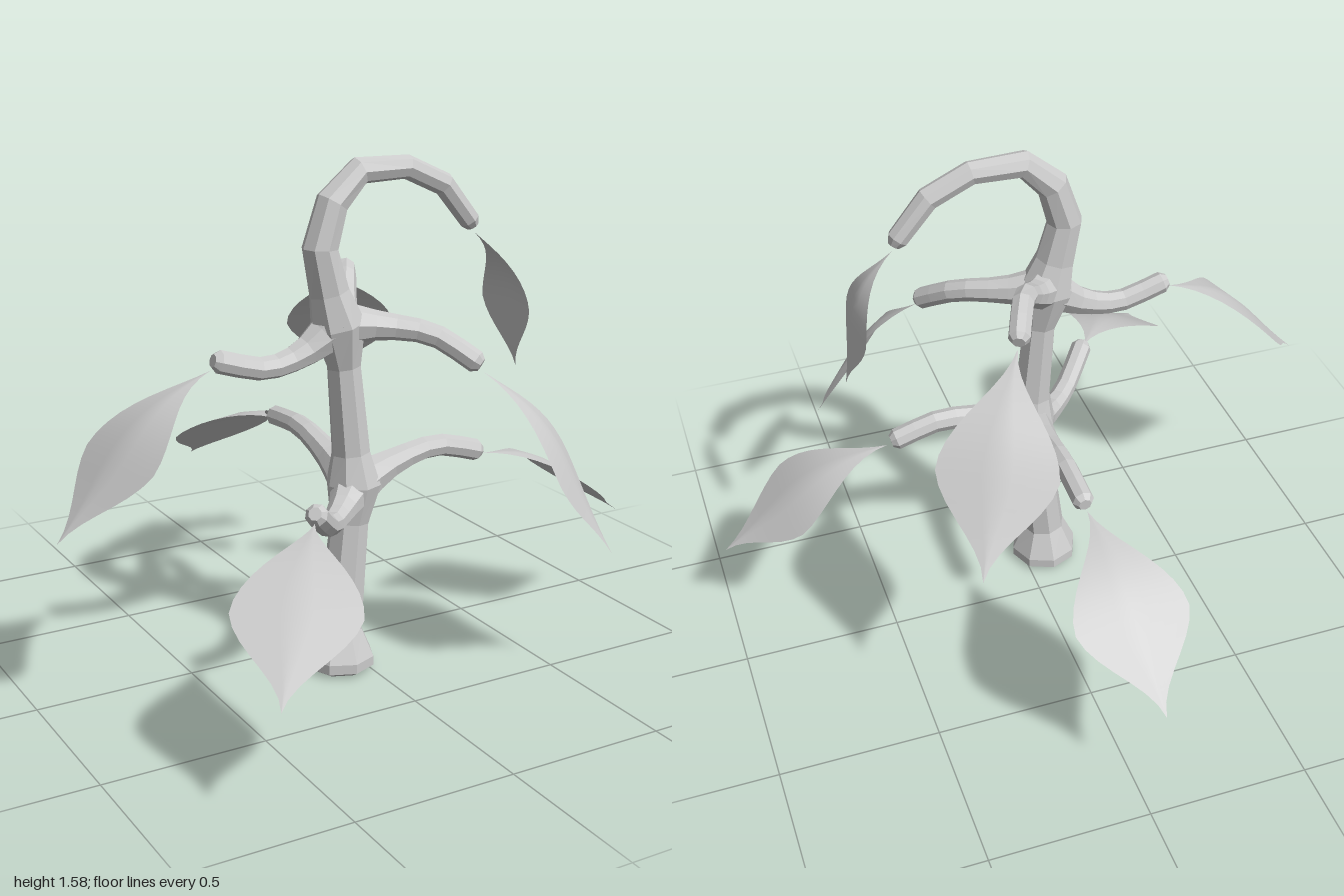
import * as THREE from 'three';

const V = (p) => new THREE.Vector3(...p);
const barkMat = new THREE.MeshStandardMaterial({ color: 0xcccccc, flatShading: true });
const leafMat = new THREE.MeshStandardMaterial({ color: 0xcccccc, side: THREE.DoubleSide });
const SIDES = 8;
const AXIS = 0.175; // depth of the trunk

function makeMesh(name, pos, idx, material) {
  const g = new THREE.BufferGeometry();
  g.setAttribute('position', new THREE.Float32BufferAttribute(pos, 3));
  g.setIndex(idx);
  g.computeVertexNormals();
  const mesh = new THREE.Mesh(g, material);
  mesh.name = name;
  return mesh;
}

// Faceted limb swept through points with a radius at each, closed at both ends
function limb(name, pts, radii) {
  const pos = [], idx = [], n = pts.length;
  const normal = new THREE.Vector3(0, 0.1, 1);
  pts.forEach((p, i) => {
    const t = new THREE.Vector3();
    if (i > 0) t.add(p.clone().sub(pts[i - 1]).normalize());
    if (i < n - 1) t.add(pts[i + 1].clone().sub(p).normalize());
    t.normalize();
    normal.addScaledVector(t, -normal.dot(t)).normalize();
    const side = t.clone().cross(normal);
    for (let j = 0; j < SIDES; j++) {
      const a = (j / SIDES) * Math.PI * 2;
      const q = p.clone().addScaledVector(normal, radii[i] * Math.cos(a))
        .addScaledVector(side, radii[i] * Math.sin(a));
      pos.push(q.x, q.y, q.z);
    }
  });
  for (let i = 0; i < n - 1; i++) {
    for (let j = 0; j < SIDES; j++) {
      const k = (j + 1) % SIDES, a = i * SIDES;
      idx.push(a + j, a + k, a + SIDES + k, a + j, a + SIDES + k, a + SIDES + j);
    }
  }
  const last = (n - 1) * SIDES;
  for (let j = 1; j < SIDES - 1; j++) idx.push(0, j + 1, j, last, last + j, last + j + 1);
  return makeMesh(name, pos, idx, barkMat);
}

// Branch curving out of a joint, thick at the root, with a rounded tip
function branch(name, points) {
  const curve = new THREE.CatmullRomCurve3(points), pts = [], radii = [], steps = 7;
  for (let i = 0; i <= steps; i++) {
    const t = i / steps;
    pts.push(curve.getPoint(t));
    radii.push(0.034 + 0.045 * (1 - t) ** 4);
  }
  pts.push(curve.getPoint(1).addScaledVector(curve.getTangent(1), 0.018));
  radii.push(0.02);
  return limb(name, pts, radii);
}

// Arched diamond leaf from stem to tip, widest just past the middle
function leaf(name, stem, tip, halfWidth) {
  const chord = tip.clone().sub(stem), pos = [], idx = [];
  const across = new THREE.Vector3(chord.z, 0, -chord.x).normalize();
  const up = chord.clone().cross(across).normalize();
  const rows = 16, half = 4, row = half * 2 + 1, widest = 0.55;
  for (let i = 0; i <= rows; i++) {
    const u = i / rows;
    const t = u < widest ? u / widest : (1 - u) / (1 - widest);
    const w = 0.75 * Math.sin((t * Math.PI) / 2) ** 2 + 0.25 * t;
    const lift = 0.055 * Math.sin(Math.PI * u) + 0.014 * Math.sin(2 * Math.PI * u);
    const mid = stem.clone().addScaledVector(chord, u).addScaledVector(up, lift);
    for (let j = -half; j <= half; j++) {
      const s = (w * j) / half;
      const p = mid.clone().addScaledVector(across, s * halfWidth).addScaledVector(up, -0.018 * Math.abs(s));
      pos.push(p.x, p.y, p.z);
      if (i > 0 && j < half) {
        const c = i * row + j + half, b = c - row;
        idx.push(b, c, b + 1, b + 1, c, c + 1);
      }
    }
  }
  return makeMesh(name, pos, idx, leafMat);
}

export function createModel() {
  const group = new THREE.Group();
  group.name = 'smallTree';

  // Trunk with flared foot, two swollen joints and a hooked crown: [x, y, radius]
  const trunk = [
    [-0.075, 0.005, 0.085], [-0.075, 0.02, 0.11], [-0.075, 0.05, 0.11], [-0.073, 0.14, 0.07],
    [-0.04, 0.48, 0.06], [-0.025, 0.6, 0.085], [-0.035, 0.7, 0.06], [-0.06, 0.97, 0.052],
    [-0.08, 1.1, 0.085], [-0.11, 1.2, 0.062], [-0.14, 1.33, 0.055], [-0.1, 1.46, 0.05],
    [-0.01, 1.545, 0.042], [0.15, 1.545, 0.036], [0.28, 1.485, 0.036], [0.375, 1.37, 0.033],
    [0.388, 1.35, 0.02],
  ];
  group.add(limb('trunk', trunk.map(([x, y]) => V([x, y, AXIS])), trunk.map((s) => s[2])));

  // Branches by joint: two bends and an end, then the tip of the leaf
  const upper = V([-0.08, 1.1, AXIS]), lower = V([-0.025, 0.59, AXIS]);
  const branches = [
    ['upperRight', upper, [-0.2, 1.025, AXIS], [-0.32, 0.997, AXIS], [-0.47, 1.037, AXIS], [-1, 0.61, 0.25]],
    ['upperFront', upper, [0.04, 1.09, 0.22], [0.17, 1.065, 0.3], [0.258, 0.993, 0.4], [0.58, 0.42, 0.67]],
    ['upperBack', upper, [-0.01, 1.15, 0.08], [0.055, 1.213, -0.02], [0.112, 1.172, -0.148], [0.38, 0.715, -0.62]],
    ['lowerLeft', lower, [0.12, 0.645, AXIS], [0.27, 0.672, AXIS], [0.42, 0.633, AXIS], [1, 0.33, AXIS]],
    ['lowerBack', lower, [-0.02, 0.645, 0], [-0.02, 0.685, -0.17], [-0.02, 0.675, -0.343], [-0.045, 0.375, -0.97]],
    ['lowerFront', lower, [-0.11, 0.55, 0.25], [-0.205, 0.55, 0.345], [-0.308, 0.635, 0.453], [-0.695, 0.35, 0.97]],
  ];
  for (const [name, joint, bendA, bendB, end, tip] of branches) {
    const tipPoint = V(tip);
    const stem = V(end).addScaledVector(tipPoint.clone().sub(V(end)).normalize(), 0.035);
    group.add(branch(name + 'Branch', [joint, V(bendA), V(bendB), V(end)]));
    group.add(leaf(name + 'Leaf', stem, tipPoint, 0.18));
  }

  // Smaller leaf hanging from the hooked crown
  group.add(leaf('crownLeaf', V([0.395, 1.33, AXIS]), V([0.565, 0.89, AXIS]), 0.125));
  return group;
}
